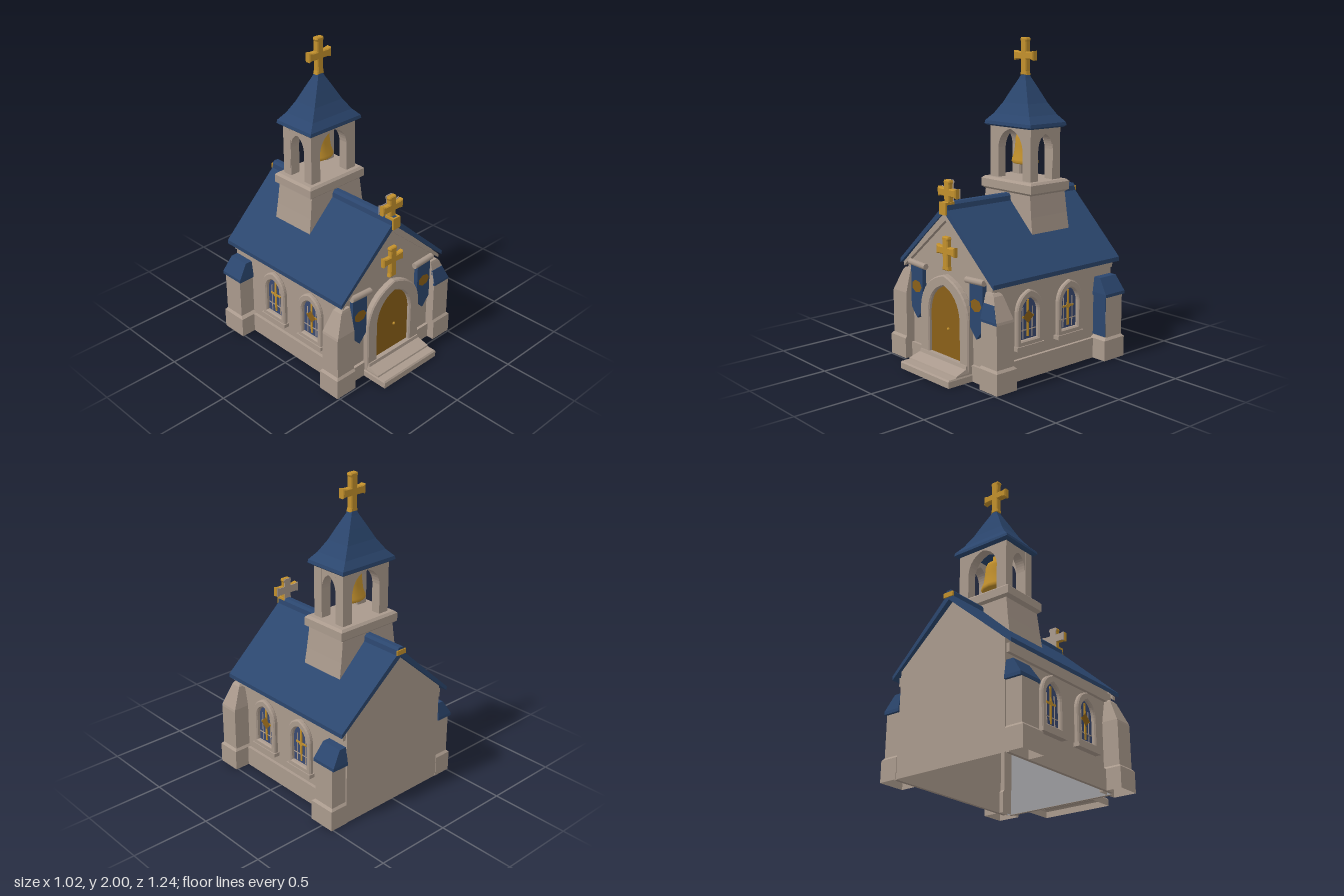
import * as THREE from 'three';

const mat = (name, color, side = THREE.FrontSide) => {
  const m = new THREE.MeshStandardMaterial({ color, side });
  m.name = name;
  return m;
};

export function createModel() {
  const stone = mat('stone', 0xaa9a8d, THREE.DoubleSide);
  const blue = mat('slate blue', 0x2b466e);
  const gold = mat('gold', 0xc2902c);
  const wood = mat('door wood', 0x8a6018);
  const glass = mat('window glass', 0x394a72);
  const grey = mat('grey lining', 0x9c9c9f);

  const root = new THREE.Group();
  root.name = 'chapel';

  const add = (name, geo, material, parent = root, x = 0, y = 0, z = 0) => {
    const m = new THREE.Mesh(geo, material);
    m.name = name;
    m.position.set(x, y, z);
    parent.add(m);
    return m;
  };
  const box = (name, material, x0, x1, y0, y1, z0, z1, parent = root) =>
    add(name, new THREE.BoxGeometry(x1 - x0, y1 - y0, z1 - z0), material, parent,
      (x0 + x1) / 2, (y0 + y1) / 2, (z0 + z1) / 2);
  const poly = pts => new THREE.Shape(pts.map(p => new THREE.Vector2(p[0], p[1])));
  const extrude = (shape, z0, z1, bevel = 0) => {
    const g = new THREE.ExtrudeGeometry(shape, {
      depth: z1 - z0 - 2 * bevel, curveSegments: 8, bevelEnabled: bevel > 0,
      bevelSize: bevel, bevelOffset: -bevel, bevelThickness: bevel, bevelSegments: 1,
    });
    return g.translate(0, 0, z0 + bevel);
  };
  // Pointed arch outline: half width, sill, spring line, apex
  const arch = (w, y0, ys, ya, S = THREE.Shape) => {
    const s = new S();
    const c = ys + (ya - ys) * 0.78;
    s.moveTo(-w, y0);
    s.lineTo(w, y0);
    s.lineTo(w, ys);
    s.quadraticCurveTo(w * 0.9, c, 0, ya);
    s.quadraticCurveTo(-w * 0.9, c, -w, ys);
    s.closePath();
    return s;
  };
  // Stacked rectangles [y, x0, x1, z0, z1] joined by flat faces, capped on top and optionally below
  const stack = (rings, closed = true) => {
    const pos = [];
    const corners = ([y, x0, x1, z0, z1]) => [[x0, y, z1], [x1, y, z1], [x1, y, z0], [x0, y, z0]];
    const quad = (a, b, c, d) => pos.push(...a, ...b, ...c, ...a, ...c, ...d);
    for (let i = 0; i + 1 < rings.length; i++) {
      const lo = corners(rings[i]), hi = corners(rings[i + 1]);
      for (let k = 0; k < 4; k++) quad(lo[k], lo[(k + 1) % 4], hi[(k + 1) % 4], hi[k]);
    }
    const b = corners(rings[0]), t = corners(rings[rings.length - 1]);
    if (closed) quad(b[3], b[2], b[1], b[0]);
    quad(t[0], t[1], t[2], t[3]);
    const g = new THREE.BufferGeometry();
    g.setAttribute('position', new THREE.Float32BufferAttribute(pos, 3));
    g.computeVertexNormals();
    return g;
  };
  const chevron = (w, eLo, eHi, aLo, aHi) =>
    poly([[w, eLo], [w, eHi], [0, aHi], [-w, eHi], [-w, eLo], [0, aLo]]);
  // Cross with slightly flared ends, centred on its arms
  const crossShape = (up, down, arm) => {
    const t = 0.024, f = 0.03, q = 0.025;
    return poly([[-t, -t], [-arm + q, -t], [-arm, -f], [-arm, f], [-arm + q, t], [-t, t],
      [-t, up - q], [-f, up - q / 2], [-t, up], [t, up], [f, up - q / 2], [t, up - q],
      [t, t], [arm - q, t], [arm, f], [arm, -f], [arm - q, -t], [t, -t],
      [t, -down + q], [f, -down], [-f, -down], [-t, -down + q]].reverse());
  };
  const cross = (name, x, y, z, up, down, arm, depth, parent = root) =>
    add(name, extrude(crossShape(up, down, arm), -depth / 2, depth / 2, 0.006), gold, parent, x, y, z);

  // Main hall: a thin shell, open below
  const gable = () => new THREE.ShapeGeometry(
    poly([[-0.39, 0], [0.39, 0], [0.39, 0.65], [0, 0.99], [-0.39, 0.65]]));
  add('frontWall', gable(), stone, root, 0, 0, 0.42);
  add('backWall', gable(), stone, root, 0, 0, -0.58).rotation.y = Math.PI;
  add('frontWallLining', gable(), grey, root, 0, 0, 0.416).rotation.y = Math.PI;
  box('frontPlinth', stone, -0.38, 0.38, 0, 0.1, 0.421, 0.44);
  for (const s of [-1, 1]) {
    const wall = add('sideWall', new THREE.PlaneGeometry(1, 0.65), stone, root, s * 0.39, 0.325, -0.08);
    wall.rotation.y = s * Math.PI / 2;
    const x = s * 0.401;
    box('sidePlinth', stone, x - 0.01, x + 0.01, 0, 0.13, -0.57, 0.4);
    box('eaveBand', stone, x - 0.01, x + 0.012, 0.565, 0.62, -0.57, 0.42);
  }
  // Coloured linings inside the hall
  const patch = add('blueLining', new THREE.PlaneGeometry(0.62, 0.62), blue, root, -0.387, 0.31, -0.268);
  patch.rotation.y = Math.PI / 2;
  const disc = add('greyLining', new THREE.CircleGeometry(0.085, 12), grey, root, -0.387, 0.46, 0.18);
  disc.rotation.y = Math.PI / 2;
  const spot = add('woodLining', new THREE.CircleGeometry(0.07, 3), wood, root, -0.22, 0.19, 0.413);
  spot.rotation.y = Math.PI;
  add('gableCoping', extrude(chevron(0.425, 0.585, 0.61, 0.94, 1.0), 0.421, 0.447), stone);

  // Roof, with the rear edge swept out toward the ridge
  const roofGeo = extrude(chevron(0.445, 0.605, 0.632, 0.99, 1.035), -0.596, 0.457);
  const rp = roofGeo.attributes.position;
  for (let i = 0; i < rp.count; i++)
    if (rp.getZ(i) < -0.5) rp.setZ(i, rp.getZ(i) - 0.02 * (1 - Math.abs(rp.getX(i)) / 0.445));
  roofGeo.computeVertexNormals();
  add('roof', roofGeo, blue);
  add('ridgeCap', extrude(poly([[-0.035, 0.995], [0.035, 0.995], [0.03, 1.035], [0.015, 1.05],
    [-0.015, 1.05], [-0.03, 1.035]]), -0.615, 0.455), blue);
  box('rearRidgeStud', gold, -0.035, 0.035, 1.005, 1.035, -0.622, -0.612);

  // Corner buttresses
  for (const s of [-1, 1]) {
    const px = (a, b) => (s > 0 ? [a, b] : [-b, -a]);
    for (const front of [true, false]) {
      const [z0, z1] = front ? [0.335, 0.49] : [-0.583, -0.405];
      const e = 0.012, g = front ? e : 0.022, inner = front ? 0.36 : 0.391;
      add('buttress', stack([
        [0, ...px(inner, 0.512), z0, z1], [0.13, ...px(inner, 0.512), z0, z1],
        [0.145, ...px(inner, 0.498), z0 + e, z1 - g], [0.41, ...px(inner, 0.498), z0 + e, z1 - g],
        ...(front ? [[0.425, ...px(inner, 0.495), z0 + e, z1 - e],
          [0.56, ...px(inner, 0.435), z0 + 0.04, z1 - 0.045],
          [0.575, ...px(inner, 0.42), z0 + 0.05, z1 - 0.05]] : []),
      ], false), stone);
      if (!front) add('buttressCap', stack([
        [0.405, ...px(inner, 0.503), z0 - 0.006, -0.417], [0.425, ...px(inner, 0.503), z0 - 0.006, -0.417],
        [0.52, ...px(inner, 0.44), z0 + 0.01, -0.43]]), blue);
    }
  }
  // Slate facings on the left buttresses
  add('frontButtressSlate', stack([[0.41, 0.36, 0.498, 0.47, 0.482], [0.425, 0.36, 0.494, 0.47, 0.482],
    [0.515, 0.36, 0.452, 0.447, 0.46]]), blue);
  box('rearButtressSlate', blue, 0.392, 0.496, 0.15, 0.405, -0.43, -0.423);

  // Entrance: steps, stone surround, arched door
  [
    [[0, 0.235, 0.62], [0.038, 0.235, 0.62], [0.047, 0.23, 0.612]],
    [[0.04, 0.23, 0.562], [0.056, 0.23, 0.556], [0.08, 0.225, 0.482]],
    [[0.07, 0.225, 0.482], [0.1, 0.222, 0.475]],
  ].forEach(rings =>
    add('step', stack(rings.map(([y, w, z]) => [y, -w, w, 0.421, z]), false), stone));
  const surround = arch(0.23, 0.05, 0.38, 0.61);
  surround.holes.push(arch(0.146, 0.1, 0.36, 0.54, THREE.Path));
  add('doorSurround', extrude(surround, 0.421, 0.468, 0.008), stone);
  add('door', extrude(arch(0.153, 0.095, 0.36, 0.545), 0.422, 0.445), wood);
  add('doorKnob', new THREE.SphereGeometry(0.01, 8, 6), gold, root, 0.02, 0.275, 0.447);
  cross('gableCross', 0, 0.755, 0.437, 0.085, 0.12, 0.085, 0.034);

  // Hanging banners
  for (const s of [-1, 1]) {
    const x = s * 0.285;
    add('banner', extrude(poly([[-0.058, 0.34], [0, 0.275], [0.058, 0.34], [0.058, 0.61], [-0.058, 0.61]]),
      0.422, 0.45), blue, root, x);
    const badge = add('bannerBadge', new THREE.CircleGeometry(0.05, 7), wood, root, x, 0.48, 0.453);
    badge.scale.y = 0.8;
    const rod = add('bannerRod', new THREE.CylinderGeometry(0.02, 0.02, 0.16, 8), stone, root, x - s * 0.01, 0.622, 0.447);
    rod.rotation.z = Math.PI / 2 + s * 0.05;
  }

  // Side windows
  for (const s of [-1, 1]) for (const z of [0.148, -0.187]) {
    const w = new THREE.Group();
    w.name = 'sideWindow';
    w.position.set(s * 0.39, 0, z);
    w.rotation.y = s * Math.PI / 2;
    root.add(w);
    const frame = arch(0.105, 0.2, 0.43, 0.55);
    frame.holes.push(arch(0.068, 0.245, 0.41, 0.5, THREE.Path));
    add('windowFrame', extrude(frame, 0.002, 0.035, 0.008), stone, w);
    box('windowSill', stone, -0.11, 0.11, 0.19, 0.215, 0.002, 0.042, w);
    add('windowGlass', extrude(arch(0.072, 0.24, 0.41, 0.505), 0.002, 0.008), glass, w);
    for (const x of [-0.037, 0.037]) box('windowLeading', stone, x - 0.003, x + 0.003, 0.25, 0.44, 0.005, 0.011, w);
    box('windowLeading', stone, -0.068, 0.068, 0.298, 0.304, 0.005, 0.011, w);
    box('windowMullion', gold, -0.007, 0.007, 0.26, 0.485, 0.006, 0.014, w);
    box('windowTransom', gold, -0.045, 0.045, 0.376, 0.388, 0.006, 0.014, w);
    add('windowStar', new THREE.CircleGeometry(z > 0 ? 0.042 : 0.022, 4), z > 0 ? wood : gold, w, 0, 0.382, 0.016);
  }

  // Ridge cross above the gable, with a stone back
  box('ridgeCrossFoot', gold, -0.03, 0.03, 0.975, 1.05, 0.40, 0.468);
  cross('ridgeCross', 0, 1.105, 0.42, 0.075, 0.08, 0.085, 0.036);
  add('ridgeCrossBack', extrude(crossShape(0.075, 0.08, 0.085), 0.397, 0.403), stone, root, 0, 1.105, 0);

  // Bell tower
  const tower = new THREE.Group();
  tower.name = 'bellTower';
  tower.position.z = -0.195;
  root.add(tower);
  // Base straddles the ridge and narrows upward
  const baseGeo = extrude(poly([[0.24, 0.8], [0.222, 0.92], [0.205, 1.06], [-0.205, 1.06],
    [-0.222, 0.92], [-0.24, 0.8], [0, 1.008]]), -0.158, 0.158);
  const bp = baseGeo.attributes.position;
  for (let i = 0; i < bp.count; i++) bp.setZ(i, bp.getZ(i) * (1 - (bp.getY(i) - 0.8) * 0.25));
  baseGeo.computeVertexNormals();
  add('towerBase', baseGeo, stone, tower);
  add('towerCornice', stack([[1.05, -0.205, 0.205, -0.145, 0.145], [1.067, -0.23, 0.23, -0.164, 0.164],
    [1.118, -0.23, 0.23, -0.164, 0.164], [1.132, -0.215, 0.215, -0.15, 0.15]]), stone, tower);
  const belfryWall = (half, gap, apex, z0, z1) => {
    const s = poly([[-half, 1.125], [half, 1.125], [half, 1.47], [-half, 1.47]]);
    s.holes.push(arch(gap, 1.132, 1.32, apex, THREE.Path));
    return extrude(s, z0, z1);
  };
  for (let i = 0; i < 4; i++) {
    const side = i % 2 === 1;
    const m = add('belfryWall', side ? belfryWall(0.123, 0.06, 1.42, 0.12, 0.183)
      : belfryWall(0.185, 0.112, 1.445, 0.063, 0.125), stone, tower);
    m.rotation.y = i * Math.PI / 2;
  }
  // Spire with a bell-cast curve
  add('spire', stack([[1.455, 0.2, 0.14], [1.465, 0.212, 0.153], [1.485, 0.208, 0.15], [1.53, 0.163, 0.118],
    [1.6, 0.114, 0.084], [1.68, 0.07, 0.054], [1.75, 0.03, 0.026], [1.78, 0.016, 0.016]]
    .map(([y, x, z]) => [y, -x, x, -z, z])), blue, tower);
  cross('spireCross', 0, 1.89, 0, 0.11, 0.12, 0.088, 0.042, tower);

  // Bell
  const bellProfile = [[0.001, 1.235], [0.085, 1.235], [0.09, 1.22], [0.1, 1.228], [0.098, 1.245], [0.082, 1.28],
    [0.074, 1.33], [0.07, 1.38], [0.06, 1.405], [0.02, 1.413], [0.018, 1.46], [0.001, 1.46]]
    .map(p => new THREE.Vector2(p[0], p[1]));
  const bell = add('bell', new THREE.LatheGeometry(bellProfile, 12), gold, tower);
  bell.scale.z = 0.7;

  return root;
}
